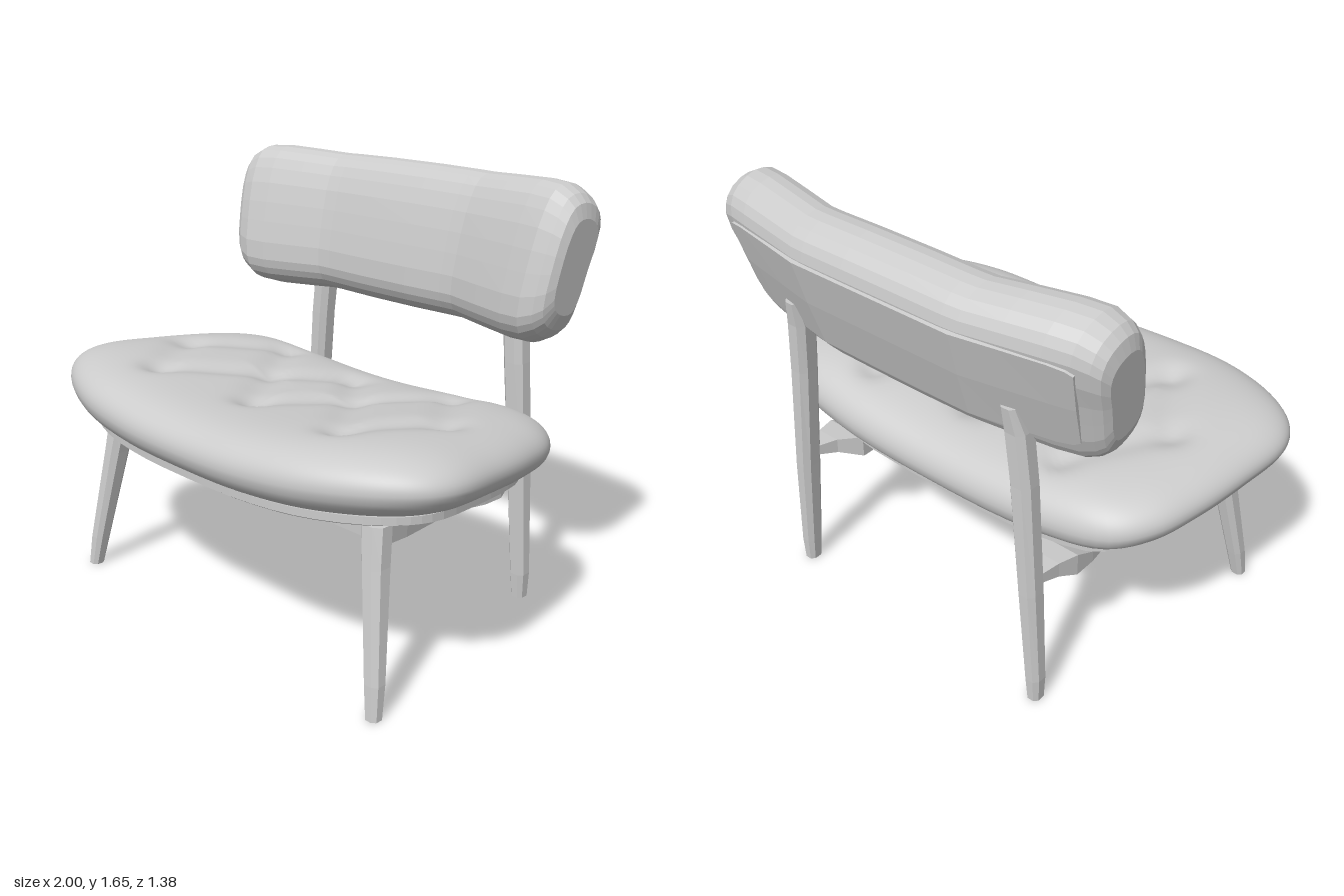
import * as THREE from 'three';

const V = (x, y, z) => new THREE.Vector3(x, y, z);
const faceted = new THREE.MeshStandardMaterial({ color: 0xcccccc, flatShading: true });
const smooth = new THREE.MeshStandardMaterial({ color: 0xcccccc });

// Skin closed rings of equal length and cap both ends; winding is made to face outwards.
function loft(rings) {
  const n = rings[0].length, m = rings.length;
  const points = rings.flat(), index = [];
  for (let i = 0; i < m - 1; i++) {
    for (let j = 0; j < n; j++) {
      const a = i * n + j, b = i * n + (j + 1) % n;
      index.push(a, b, b + n, a, b + n, a + n);
    }
  }
  for (const [r, flip] of [[0, true], [m - 1, false]]) {
    const c = points.length;
    const centre = V(0, 0, 0);
    rings[r].forEach((p) => centre.add(p));
    points.push(centre.divideScalar(n));
    for (let j = 0; j < n; j++) {
      const a = r * n + j, b = r * n + (j + 1) % n;
      index.push(c, flip ? b : a, flip ? a : b);
    }
  }
  let volume = 0;
  const cross = V(0, 0, 0);
  for (let i = 0; i < index.length; i += 3) {
    cross.crossVectors(points[index[i + 1]], points[index[i + 2]]);
    volume += points[index[i]].dot(cross);
  }
  if (volume < 0) index.reverse();
  const geometry = new THREE.BufferGeometry().setFromPoints(points);
  geometry.setIndex(index);
  geometry.computeVertexNormals();
  return geometry;
}

function part(name, geometry, material = faceted) {
  const mesh = new THREE.Mesh(geometry, material);
  mesh.name = name;
  return mesh;
}

// Seat plan, mirrored about x = 0
const half = [[0, 0.685], [0.35, 0.68], [0.62, 0.64], [0.85, 0.54], [0.96, 0.44], [1, 0.33], [0.98, 0.12],
  [0.94, -0.1], [0.88, -0.28], [0.77, -0.4], [0.5, -0.455], [0, -0.465]];
const plan = [...half, ...half.slice(1, -1).reverse().map(([x, z]) => [-x, z])];
const outline = new THREE.CatmullRomCurve3(plan.map(([x, z]) => V(x, 0, z)), true).getPoints(120).slice(0, -1);
const CZ = 0.1;
const seatTop = (x, z) => 0.85 + 0.06 * z + 0.15 * x * x - 0.07 * x ** 4;
const seatBottom = (x, z) => 0.6 + 0.07 * z + 0.065 * x * x;

// Diamond tufting: seams joining the button points
const seams = [];
for (const s of [1, -1]) {
  const line = (...pts) => pts.slice(1).forEach((p, i) => seams.push([s * pts[i][0], pts[i][1], s * p[0], p[1]]));
  line([0, -0.2], [0.23, 0.03], [0.5, 0.36]);
  line([0.45, -0.26], [0.23, 0.03], [0, 0.31]);
  line([0.45, -0.26], [0.7, 0.06], [0.5, 0.36]);
}
function tuft(x, z) {
  let seam = 0, button = Infinity;
  for (const [ax, az, bx, bz] of seams) {
    const dx = bx - ax, dz = bz - az;
    const t = THREE.MathUtils.clamp(((x - ax) * dx + (z - az) * dz) / (dx * dx + dz * dz), 0, 1);
    const d = Math.hypot(x - ax - t * dx, z - az - t * dz);
    seam = Math.max(seam, Math.exp(-((d / 0.065) ** 2)));
    button = Math.min(button, Math.hypot(x - ax, z - az), Math.hypot(x - bx, z - bz));
  }
  return 0.018 * seam + 0.02 * Math.exp(-((button / 0.065) ** 2));
}

function seatCushion() {
  const steps = 44, rings = [];
  const ring = (r, side) => rings.push(outline.map((p) => {
    const x = p.x * r, z = CZ + (p.z - CZ) * r;
    const top = seatTop(x, z), bottom = seatBottom(x, z);
    const h = Math.sqrt(1 - r ** (side > 0 ? 5.5 : 7));
    const mid = bottom + 0.46 * (top - bottom);
    return V(x, side > 0 ? mid + h * (top - mid) - tuft(x, z) * h : mid - h * (mid - bottom), z);
  }));
  const radius = (k) => 1 - (1 - k / steps) ** 1.7;
  for (let k = 1; k <= steps; k++) ring(radius(k), 1);
  for (let k = steps - 1; k > 0; k -= 2) ring(radius(k), -1);
  return loft(rings);
}

// Thin board set into the underside of the cushion
function seatBoard() {
  return loft([[0.02, 0], [0.5, 0], [0.86, 0.002], [0.89, 0.012], [0.89, 0.04], [0.02, 0.04]].map(([r, lift]) =>
    outline.filter((_, i) => i % 2 === 0).map((p) => {
      const x = p.x * r, z = CZ + (p.z - CZ) * r;
      return V(x, seatBottom(x, z) - 0.012 + lift, z);
    })));
}

// Backrest sections run along x, with the side wings bent forwards
const bend = (x) => 0.06 * THREE.MathUtils.clamp((Math.abs(x) - 0.34) / 0.32, 0, 1.3);
const sections = (list) => [...list.map(([x, s]) => [-x, s]).reverse(), ...list];
function backSections(list, profile, cz) {
  return loft(sections(list).map(([x, s]) => profile.map((p) => {
    const y = 1.37 + (p.y - 1.37) * s;
    return V(x * (1 + 0.12 * (y - 1.37)), y, cz + (p.z - cz) * s + bend(x));
  })));
}
function backCushion() {
  const profile = [[-0.345, 1.2], [-0.375, 1.13], [-0.45, 1.09], [-0.53, 1.09], [-0.58, 1.15], [-0.632, 1.33],
    [-0.685, 1.52], [-0.655, 1.6], [-0.56, 1.645], [-0.475, 1.63], [-0.42, 1.55], [-0.37, 1.38]];
  const curve = new THREE.CatmullRomCurve3(profile.map(([z, y]) => V(0, y, z)), true);
  return backSections([[0.12, 0.99], [0.3, 0.98], [0.36, 0.975], [0.5, 1], [0.64, 1.02], [0.73, 1],
    [0.785, 0.9], [0.815, 0.79], [0.832, 0.6]], curve.getPoints(28).slice(0, -1), -0.52);
}
function backPanel() {
  const profile = [[-0.55, 1.16], [-0.59, 1.16], [-0.648, 1.34], [-0.694, 1.51], [-0.65, 1.52]];
  return backSections([[0.2, 1], [0.34, 1], [0.5, 1], [0.66, 0.99], [0.72, 0.94], [0.745, 0.85]],
    profile.map(([z, y]) => V(0, y, z)), -0.645);
}

// Bevelled leg: stations of [x, y, z, half width, half depth]
function leg(stations) {
  const corners = [[1, 0.5], [0.5, 1], [-0.5, 1], [-1, 0.5], [-1, -0.5], [-0.5, -1], [0.5, -1], [1, -0.5]];
  return loft(stations.map(([x, y, z, w, d]) => corners.map(([a, b]) => V(x + a * w, y, z + b * d))));
}

// Curved side rail: stations of [z, x, half width, low y, high y]
function sideRail(s) {
  return loft([[0.36, 0.67, 0.03, 0.535, 0.61], [0.22, 0.645, 0.035, 0.52, 0.585], [0, 0.6, 0.03, 0.5, 0.525],
    [-0.16, 0.56, 0.05, 0.485, 0.5], [-0.27, 0.53, 0.09, 0.475, 0.52], [-0.36, 0.53, 0.09, 0.475, 0.565],
    [-0.44, 0.55, 0.05, 0.51, 0.57], [-0.54, 0.56, 0.025, 0.535, 0.57]].map(([z, x, w, lo, hi]) =>
    [V(s * (x - w), lo, z), V(s * (x + w), lo, z), V(s * (x + w), hi, z), V(s * (x - w), hi, z)]));
}

export function createModel() {
  const model = new THREE.Group();
  model.name = 'loungeChair';
  model.add(part('seatCushion', seatCushion(), smooth), part('seatBoard', seatBoard()));
  model.add(part('backCushion', backCushion()), part('backPanel', backPanel()));

  // Legs and rails, mirrored left and right
  for (const [side, s] of [['left', 1], ['right', -1]]) {
    model.add(part(side + 'FrontLeg', leg([[s * 0.805, 0, 0.5, 0.026, 0.026], [s * 0.79, 0.12, 0.482, 0.033, 0.033],
      [s * 0.73, 0.5, 0.42, 0.042, 0.045], [s * 0.71, 0.64, 0.4, 0.05, 0.045]])));
    model.add(part(side + 'RearLeg', leg([[s * 0.59, 0, -0.545, 0.026, 0.03], [s * 0.587, 0.1, -0.545, 0.032, 0.036],
      [s * 0.56, 0.5, -0.543, 0.038, 0.044], [s * 0.525, 0.95, -0.54, 0.044, 0.045],
      [s * 0.505, 1.16, -0.545, 0.044, 0.047], [s * 0.495, 1.26, -0.575, 0.03, 0.03]])));
    model.add(part(side + 'SideRail', sideRail(s)));
  }

  // Rail joining the front legs
  const rail = part('frontRail', new THREE.BoxGeometry(1.36, 0.1, 0.1));
  rail.position.set(0, 0.58, 0.29);
  model.add(rail);
  return model;
}
